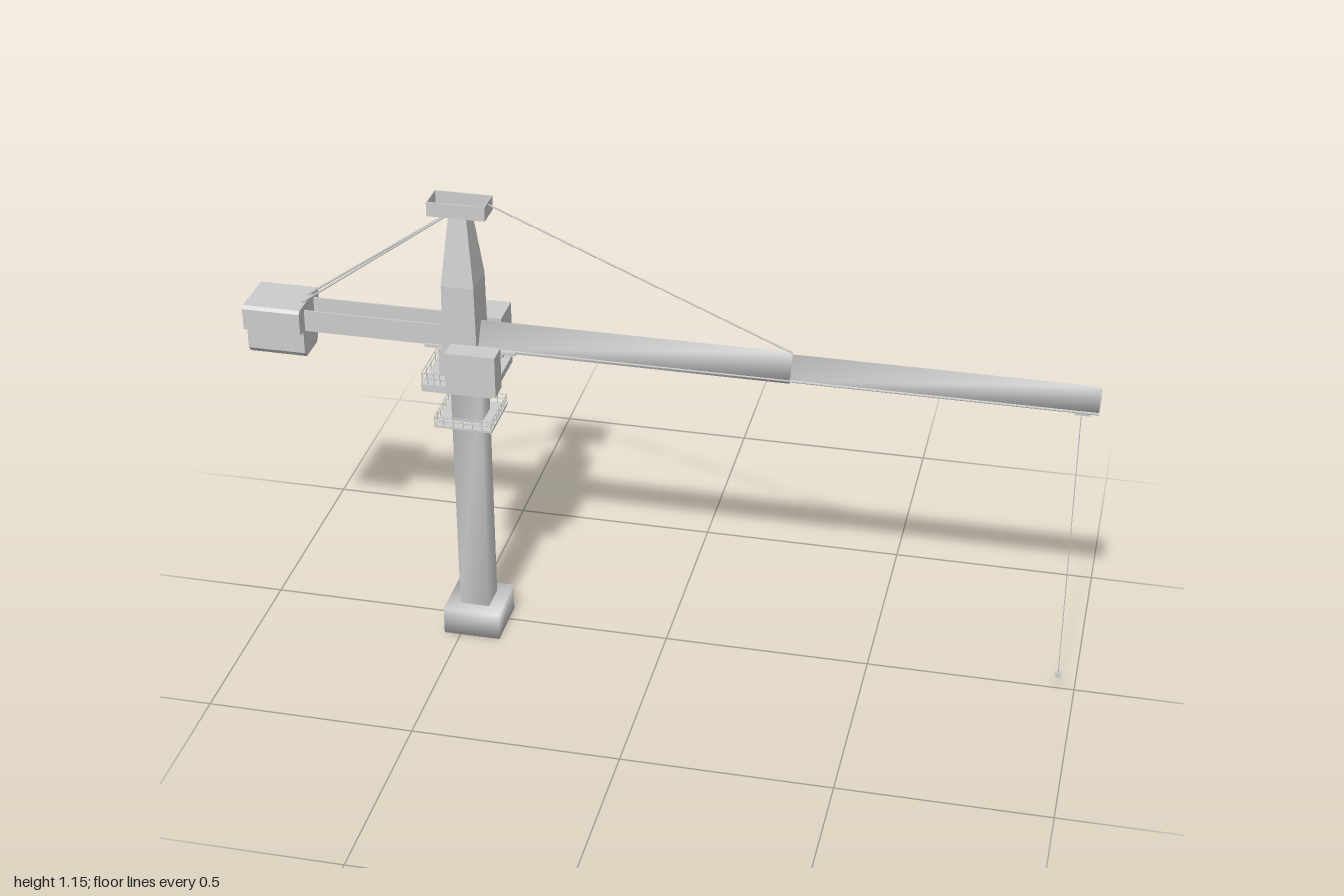
import * as THREE from 'three';
import { mergeVertices } from 'three/addons/utils/BufferGeometryUtils.js';

const CX = -0.471; // mast axis
const CZ = 0.02;

export function createModel() {
  const crane = new THREE.Group();
  crane.name = 'towerCrane';
  const mat = new THREE.MeshStandardMaterial({ color: 0xcccccc, side: THREE.DoubleSide });

  function add(name, geometry, parent = crane) {
    const mesh = new THREE.Mesh(geometry, mat);
    mesh.name = name;
    parent.add(mesh);
    return mesh;
  }
  // box given by its limits on each axis
  function box(name, [x0, x1], [y0, y1], [z0, z1], parent) {
    const g = new THREE.BoxGeometry(x1 - x0, y1 - y0, z1 - z0);
    g.translate((x0 + x1) / 2, (y0 + y1) / 2, (z0 + z1) / 2);
    return add(name, g, parent);
  }
  // share corners so that shading runs softly around them
  function soften(g) {
    g.deleteAttribute('normal');
    g.deleteAttribute('uv');
    const m = mergeVertices(g);
    m.computeVertexNormals();
    return m;
  }
  // thin rod between two points
  function rod(name, a, b, r, parent) {
    const p = new THREE.Vector3(...a), q = new THREE.Vector3(...b);
    const mesh = add(name, new THREE.CylinderGeometry(r, r, p.distanceTo(q), 6), parent);
    mesh.position.copy(p).lerp(q, 0.5);
    mesh.quaternion.setFromUnitVectors(new THREE.Vector3(0, 1, 0), q.sub(p).normalize());
    return mesh;
  }
  // square handrail with posts
  function railing(name, [x0, x1], [z0, z1], y, h, n) {
    const group = new THREE.Group();
    group.name = name;
    const corners = [[x0, z0], [x1, z0], [x1, z1], [x0, z1]];
    corners.forEach(([xa, za], i) => {
      const [xb, zb] = corners[(i + 1) % 4];
      for (const f of [0.55, 1]) rod('rail', [xa, y + h * f, za], [xb, y + h * f, zb], 0.0011, group);
      for (let k = 0; k < n; k++) {
        const x = xa + (xb - xa) * k / n, z = za + (zb - za) * k / n;
        rod('post', [x, y, z], [x, y + h, z], 0.0011, group);
      }
    });
    crane.add(group);
  }

  // base and mast
  const base = soften(new THREE.BoxGeometry(0.14, 0.07, 0.14));
  add('base', base).position.set(CX, 0.035, CZ + 0.001);
  const mast = soften(new THREE.CylinderGeometry(0.0516, 0.0516, 0.62, 4, 1, true).rotateY(Math.PI / 4));
  add('mast', mast).position.set(CX, 0.38, CZ);

  // mast walkway
  box('walkway', [-0.541, -0.401], [0.586, 0.591], [-0.049, 0.091]);
  railing('walkwayRailing', [-0.54, -0.402], [-0.048, 0.09], 0.59, 0.025, 6);

  // slewing unit
  const collar = new THREE.CylinderGeometry(0.086, 0.052, 0.014, 4).rotateY(Math.PI / 4).toNonIndexed();
  collar.computeVertexNormals();
  add('slewCollar', collar).position.set(CX, 0.676, CZ);
  box('slewRing', [-0.532, -0.41], [0.682, 0.696], [-0.04, 0.082]);
  box('slewDeck', [-0.56, -0.39], [0.696, 0.714], [-0.066, 0.117]);
  box('slewBody', [-0.53, -0.41], [0.714, 0.786], [-0.03, 0.068]);
  box('jibPlate', [-0.565, -0.345], [0.784, 0.791], [-0.035, 0.062]);
  railing('deckRailing', [-0.558, -0.5], [-0.03, 0.115], 0.714, 0.03, 4);

  // cabin and machinery house
  box('cabin', [-0.5, -0.38], [0.7, 0.803], [0.066, 0.118]);
  box('machineryHouse', [-0.54, -0.405], [0.72, 0.826], [-0.121, -0.034]);

  // tower head: four-sided column that narrows in two steps
  const head = new THREE.CylinderGeometry(1, 1, 1, 4, 2).rotateY(Math.PI / 4).toNonIndexed();
  const levels = [[0.714, 0.042, 0.048], [0.95, 0.039, 0.047], [1.122, 0.021, 0.023]];
  const hp = head.attributes.position;
  for (let i = 0; i < hp.count; i++) {
    const [y, hx, hz] = levels[Math.round((hp.getY(i) + 0.5) * 2)];
    const k = Math.SQRT2;
    hp.setXYZ(i, -0.478 + hp.getX(i) * k * hx, y, CZ + hp.getZ(i) * k * hz);
  }
  head.computeVertexNormals();
  add('towerHead', head);

  // open tray at the very top
  const tray = new THREE.Group();
  tray.name = 'topTray';
  crane.add(tray);
  box('trayFloor', [-0.547, -0.409], [1.12, 1.124], [-0.012, 0.055], tray);
  for (const z of [-0.012, 0.052]) box('traySide', [-0.547, -0.409], [1.12, 1.155], [z, z + 0.003], tray);
  for (const x of [-0.547, -0.412]) box('trayEnd', [x, x + 0.003], [1.12, 1.155], [-0.012, 0.055], tray);

  // triangular jib in two sections, the outer one slimmer
  function jibSection(name, x0, x1, top, bottom, half) {
    const g = new THREE.CylinderGeometry(1, 1, x1 - x0, 3, 1, true);
    const p = g.attributes.position;
    const corners = [[top, 0], [bottom, -half], [bottom, half], [top, 0]];
    for (let i = 0; i < p.count; i++) {
      const [y, z] = corners[i % 4];
      p.setXYZ(i, p.getY(i) + (x0 + x1) / 2, y, CZ + z);
    }
    add(name, soften(g));
  }
  jibSection('innerJib', -0.47, 0.3, 0.848, 0.786, 0.036);
  jibSection('outerJib', 0.29, 1, 0.843, 0.79, 0.032);
  for (const s of [-1, 1]) {
    rod('jibChord', [-0.45, 0.79, CZ + s * 0.031], [1, 0.79, CZ + s * 0.031], 0.003);
  }

  // counter jib: channel open at the top
  box('counterJibFloor', [-0.88, -0.5], [0.788, 0.794], [-0.017, 0.055]);
  for (const z of [-0.017, 0.051]) box('counterJibSide', [-0.88, -0.5], [0.788, 0.842], [z, z + 0.004]);

  // counterweight: wide top, narrower block below with cut lower corners
  const profile = [[-0.07, 0.795], [-0.07, 0.848], [-0.062, 0.855], [0.062, 0.855], [0.07, 0.848], [0.07, 0.795],
    [0.048, 0.79], [0.048, 0.735], [0.036, 0.721], [-0.036, 0.721], [-0.048, 0.735], [-0.048, 0.79]];
  const weight = new THREE.ExtrudeGeometry(
    new THREE.Shape(profile.map(([z, y]) => new THREE.Vector2(z, y))), { depth: 0.14, bevelEnabled: false });
  weight.rotateY(Math.PI / 2);
  add('counterweight', weight).position.set(-1, 0, CZ);

  // tie rods
  rod('frontTie', [-0.41, 1.147, CZ], [0.3, 0.846, CZ], 0.002);
  for (const s of [-1, 1]) rod('rearTie', [-0.87, 0.855, CZ + s * 0.02], [-0.485, 1.128, CZ + s * 0.004], 0.0025);

  // trolley, hoist rope and hook
  box('trolley', [0.945, 0.981], [0.776, 0.786], [-0.002, 0.042]);
  for (const x of [0.951, 0.975]) {
    for (const z of [0, 0.04]) {
      const wheel = add('trolleyWheel', new THREE.CylinderGeometry(0.005, 0.005, 0.004, 10).rotateX(Math.PI / 2));
      wheel.position.set(x, 0.787, z);
    }
  }
  rod('hoistRope', [0.96, 0.058, CZ], [0.96, 0.78, CZ], 0.0012);
  box('hookBlock', [0.953, 0.967], [0.051, 0.06], [0.013, 0.027]);
  const hook = add('hook', new THREE.TorusGeometry(0.004, 0.0015, 6, 12, Math.PI * 1.5));
  hook.position.set(0.96, 0.048, CZ);
  hook.rotation.z = Math.PI;

  return crane;
}
